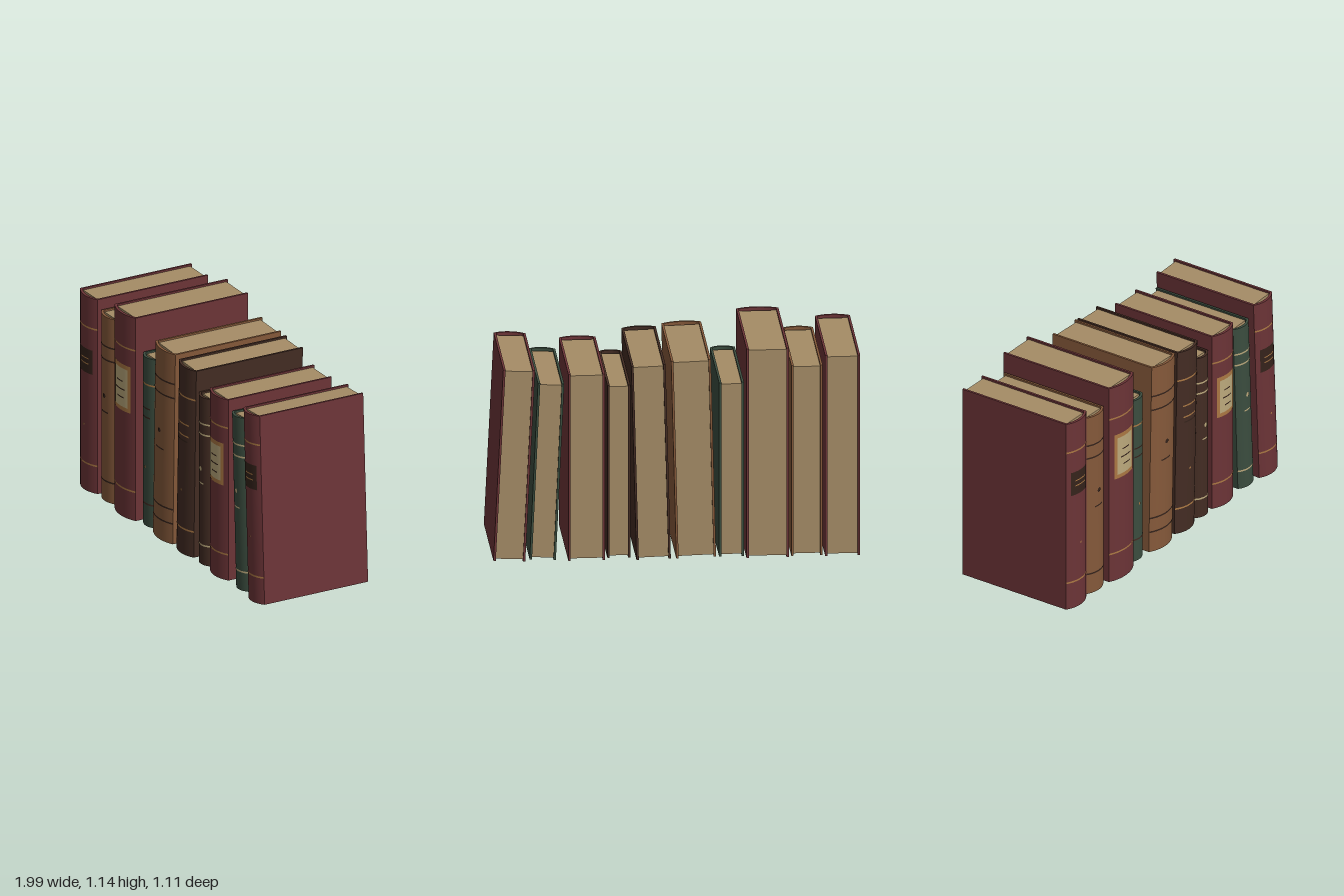
import * as THREE from 'three';
import { toCreasedNormals } from 'three/addons/utils/BufferGeometryUtils.js';

const mat = (name, color, side = THREE.FrontSide) => {
  const m = new THREE.MeshStandardMaterial({ color, side });
  m.name = name;
  return m;
};

export function createModel() {
  const red = mat('red leather', 0x6c3437);
  const tan = mat('tan leather', 0x85593a);
  const brown = mat('dark brown leather', 0x432c23);
  const green = mat('green leather', 0x3b4d3f);
  const paper = mat('paper', 0xa58c66);
  const gold = mat('gold trim', 0xab7843);
  const cream = mat('cream trim', 0xbca97c);
  const ink = mat('dark ink', 0x35231b);

  const BOARD = 0.012, BULGE = 0.028, INSET = 0.01;

  function add(group, name, geometry, material, x = 0, y = 0, z = 0) {
    const mesh = new THREE.Mesh(geometry, material);
    mesh.name = name;
    mesh.position.set(x, y, z);
    group.add(mesh);
  }

  // Curved spine: a crescent in plan, extruded upwards
  function spineGeometry(w, h, R, half) {
    const pts = [], n = 14;
    for (let i = 0; i <= n; i++) {
      const a = -half + (2 * half * i) / n;
      pts.push(new THREE.Vector2(R * Math.sin(a), R - BULGE - R * Math.cos(a) + 0));
    }
    const outer = pts.map(p => new THREE.Vector2(p.x, p.y - R + BULGE + (R - BULGE)));
    const inner = outer.map(p => new THREE.Vector2(p.x, p.y + 0.015)).reverse();
    const geo = new THREE.ExtrudeGeometry(new THREE.Shape([...outer, ...inner]), { depth: h, bevelEnabled: false });
    geo.rotateX(-Math.PI / 2);
    return toCreasedNormals(geo, 0.5);
  }

  // left/right: extent along the row, back/front: depth extent, lean: tilt about the foot it stands on
  function makeBook({ name, left, right, height: h, back, front, lean = 0, leather, marks }) {
    const w = right - left, depth = front - back, mid = (front + back) / 2;
    const R = (w * w / 4 + BULGE * BULGE) / (2 * BULGE);
    const half = Math.asin(w / 2 / R);
    const pivot = lean > 0 ? left : lean < 0 ? right : (left + right) / 2;
    const cx = (left + right) / 2 - pivot;
    const book = new THREE.Group();
    book.name = name;
    book.position.x = pivot;
    book.rotation.z = lean;

    for (const s of [-1, 1])
      add(book, s < 0 ? 'rightBoard' : 'leftBoard', new THREE.BoxGeometry(BOARD, h, depth), leather,
        cx + s * (w - BOARD) / 2, h / 2, mid);
    add(book, 'pages', new THREE.BoxGeometry(w - 2 * BOARD, h - 2 * INSET, depth - INSET - 0.012), paper,
      cx, h / 2, mid + (INSET - 0.012) / 2);
    add(book, 'spine', spineGeometry(w, h, R, half), leather, cx, 0, front);

    // Curved plate lying on the spine
    const plate = (label, y, ph, frac, material, layer = 1, shift = 0) => {
      const r = R + 0.0015 * layer, a = half * frac;
      add(book, label, new THREE.CylinderGeometry(r, r, ph, 10, 1, true, -a + shift * half, 2 * a),
        material, cx, y, front + BULGE - R);
    };
    for (const [type, y, material, size] of marks) {
      if (type === 'band') plate('band', y, size || 0.009, 0.99, material);
      if (type === 'dash') plate('dash', y, 0.008, size || 0.35, material);
      if (type === 'dot')
        add(book, 'dot', new THREE.CircleGeometry(size || 0.013, 10), material, cx, y, front + BULGE + 0.003);
      if (type === 'darkLabel') {
        plate('label', y, 0.135, 0.7, ink);
        for (const d of [0.015, -0.015]) plate('labelLine', y + d, 0.006, 0.42, gold, 2);
      }
      if (type === 'creamLabel') {
        plate('labelFrame', y, size, 0.72, gold);
        plate('label', y, size - 0.045, 0.55, cream, 2);
        plate('labelLine', y + 0.035, 0.007, 0.25, ink, 3);
        plate('labelLine', y - 0.01, 0.007, 0.36, ink, 3);
        plate('labelLine', y - 0.055, 0.007, 0.25, ink, 3, 0.05);
      }
    }
    return book;
  }

  const books = [
    { left: -0.943, right: -0.762, height: 1.09, back: -0.33, front: 0.328, leather: red,
      marks: [['band', 0.92, gold], ['band', 0.155, gold], ['darkLabel', 0.73], ['dot', 0.37, gold, 0.006]] },
    { left: -0.75, right: -0.588, height: 1.035, back: -0.312, front: 0.312, leather: tan,
      marks: [['band', 0.87, ink], ['band', 0.795, ink], ['band', 0.115, ink], ['dot', 0.59, ink], ['dash', 0.5, ink]] },
    { left: -0.573, right: -0.354, height: 1.138, back: -0.333, front: 0.336, leather: red,
      marks: [['band', 0.955, gold], ['band', 0.162, gold], ['creamLabel', 0.725, null, 0.26]] },
    { left: -0.344, right: -0.215, height: 0.945, back: -0.294, front: 0.292, leather: green,
      marks: [['band', 0.795, gold], ['band', 0.125, brown], ['dash', 0.66, ink, 0.5], ['dash', 0.61, ink, 0.5],
        ['dot', 0.33, gold, 0.008]] },
    { left: -0.198, right: 0.008, height: 1.073, back: -0.308, front: 0.322, lean: -0.025, leather: tan,
      marks: [['band', 0.905, ink], ['band', 0.825, ink], ['band', 0.195, ink], ['band', 0.115, ink],
        ['dot', 0.615, ink], ['dash', 0.515, ink]] },
    { left: 0.037, right: 0.215, height: 1.055, back: -0.318, front: 0.316, lean: -0.026, leather: brown,
      marks: [['band', 0.89, gold], ['band', 0.145, gold], ['dash', 0.735, gold, 0.6], ['dash', 0.67, gold, 0.55],
        ['dash', 0.64, ink, 0.5], ['dot', 0.36, gold, 0.007]] },
    { left: 0.243, right: 0.362, height: 0.938, back: -0.27, front: 0.296, leather: brown,
      marks: [['band', 0.79, cream], ['band', 0.73, cream], ['band', 0.11, cream], ['dot', 0.535, cream],
        ['dash', 0.455, cream]] },
    { left: 0.377, right: 0.567, height: 1.013, back: -0.303, front: 0.312, leather: red,
      marks: [['band', 0.855, gold], ['band', 0.145, gold], ['creamLabel', 0.645, null, 0.235]] },
    { left: 0.63, right: 0.766, height: 0.958, back: -0.282, front: 0.297, lean: 0.045, leather: green,
      marks: [['band', 0.805, cream], ['band', 0.74, cream], ['band', 0.105, cream], ['dot', 0.545, cream],
        ['dash', 0.455, cream]] },
    { left: 0.79, right: 0.955, height: 1.04, back: -0.298, front: 0.318, lean: 0.049, leather: red,
      marks: [['band', 0.88, gold], ['band', 0.148, gold], ['darkLabel', 0.695], ['dot', 0.36, gold, 0.006]] },
  ];

  // The whole row is turned slightly about the vertical
  const row = new THREE.Group();
  row.name = 'bookRow';
  row.rotation.y = -0.253;
  books.forEach((b, i) => row.add(makeBook({ name: 'book' + (i + 1), ...b })));

  const model = new THREE.Group();
  model.name = 'books';
  model.add(row);
  return model;
}
